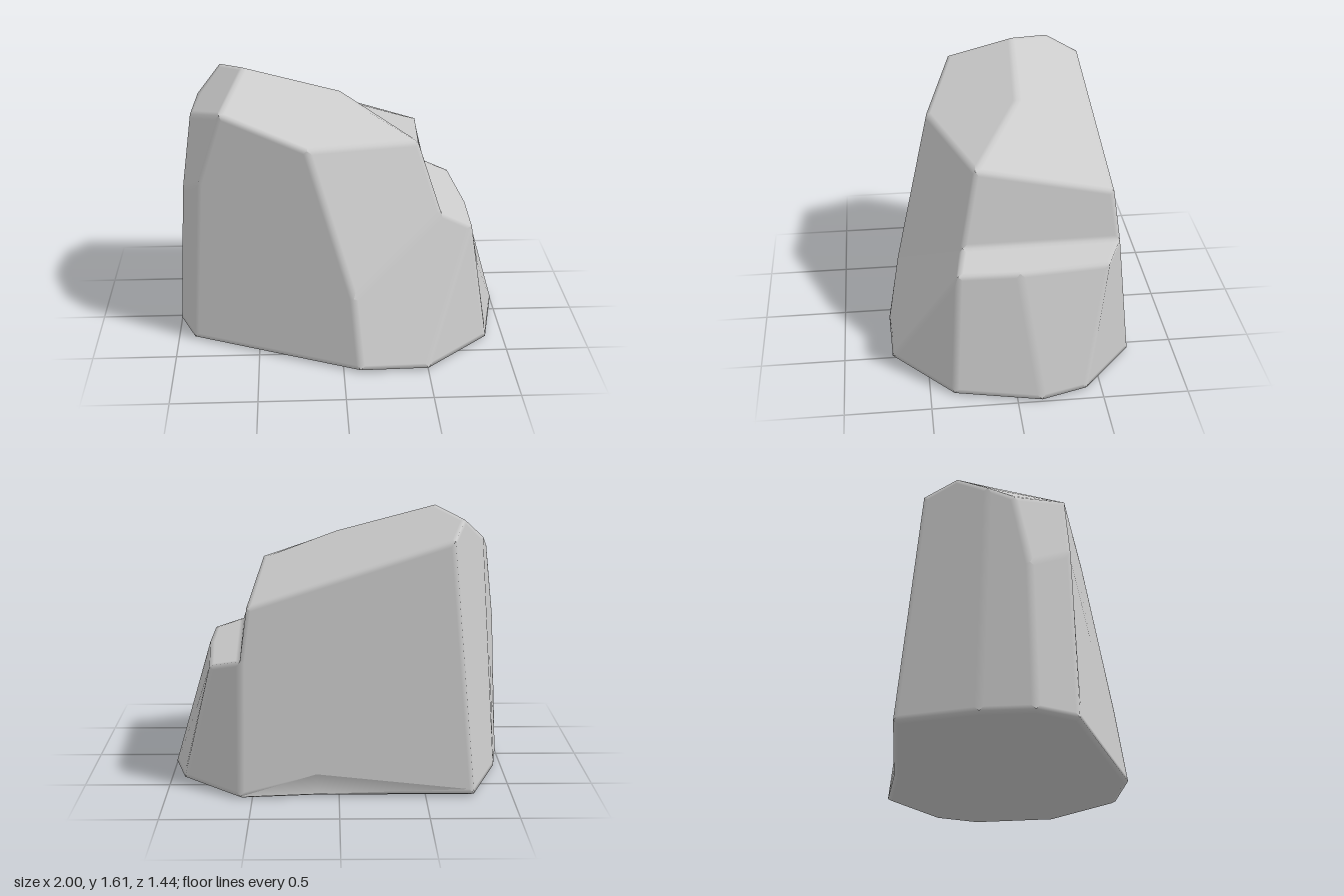
import * as THREE from 'three';

const EDGE = 0.025; // width of the softened band along every edge
const RIM = 0.015; // height of the rounded foot

// Corners of the boulder, grouped by region
const corners = {
  // foot outline
  b0: [-1, RIM, 0.05], b1: [-0.9, RIM, 0.29], b2: [0.1, RIM, 0.72], b3: [0.5, RIM, 0.71],
  b4: [0.89, RIM, 0.36], b5: [1, RIM, -0.14], b6: [0.92, RIM, -0.41], b7: [0.57, RIM, -0.72],
  b8: [0.12, RIM, -0.68], b9: [-0.78, RIM, -0.68], b10: [-0.95, RIM, -0.24],
  // front ridge and side shoulder
  f: [0.06, 0.45, 0.645], l1: [-0.84, 1.03, 0.27], l2: [-0.95, 0.9, 0.03],
  // ledge: outer lip and inner crease
  o1: [0.78, 0.75, 0.32], o2: [0.785, 0.75, -0.03], o3: [0.74, 0.75, -0.55],
  s1: [0.6, 0.82, 0.28], s3: [0.56, 0.8, -0.64],
  // crown
  t1: [-0.57, 1.61, -0.13], t2: [0, 1.45, -0.1], t3: [0.46, 1.24, 0.19], t4: [0.52, 1.1, -0.6],
  t5: [-0.65, 1.47, -0.56], t6: [-0.72, 1.56, -0.37], t7: [-0.2, 1.29, 0.43],
  t8: [-0.7, 1.45, 0.26], t9: [-0.85, 1.43, -0.2], t10: [-0.89, 1.35, -0.05],
};

// Facets, counter-clockwise from outside
const facets = [
  'b1 b2 f t7 t8 l1', 'f s1 t3 t7', 'b2 b3 o1 s1 f', 'b3 b4 o1', // front
  'b4 b5 o2 o1', 'b5 b6 o3 o2', 'b6 b7 s3 o3', // below the ledge
  'o1 o2 o3 s3 s1', 's1 s3 t4 t3', // ledge and cliff
  'b7 b8 b9 t5 t4 s3', 'b9 b10 t9 t6 t5', // back
  'b10 b0 l2 t10 t9', 'b0 b1 l1 l2', 'l2 l1 t8 t10', // side
  't6 t9 t10 t8 t1', 't8 t7 t3 t2 t1', 't1 t2 t3 t4 t5 t6', // crown
  'b10 b9 b8 b7 b6 b5 b4 b3 b2 b1 b0', // underside
].map((s) => s.split(' '));

// Average normal of a polygon that may be slightly warped
function polygonNormal(pts) {
  const n = new THREE.Vector3();
  pts.forEach((p, i) => n.add(p.clone().cross(pts[(i + 1) % pts.length])));
  return n.normalize();
}

function rockGeometry() {
  const at = {};
  for (const k in corners) at[k] = new THREE.Vector3(...corners[k]);
  const normals = facets.map((f) => polygonNormal(f.map((k) => at[k])));

  // Which facet owns each directed edge
  const owner = {};
  facets.forEach((f, i) => f.forEach((k, j) => { owner[k + '>' + f[(j + 1) % f.length]] = i; }));

  const pos = [], nor = [];
  const tri = (...verts) => verts.forEach(([p, n]) => {
    pos.push(p.x, p.y, p.z);
    nor.push(n.x, n.y, n.z);
  });

  facets.forEach((f, i) => {
    const n = normals[i], count = f.length;
    const pts = f.map((k) => at[k]);
    // Shrink the facet evenly inside its outline
    const inner = pts.map((p, j) => {
      const next = pts[(j + 1) % count].clone().sub(p).normalize();
      const prev = pts[(j + count - 1) % count].clone().sub(p).normalize();
      const sin = next.clone().cross(prev).dot(n);
      const q = p.clone().addScaledVector(next.add(prev), EDGE / sin);
      if (i === facets.length - 1) q.y = 0;
      return q;
    });
    const mid = inner.reduce((c, p) => c.add(p), new THREE.Vector3()).divideScalar(count);
    for (let j = 0; j < count; j++) {
      const k = (j + 1) % count;
      const other = normals[owner[f[k] + '>' + f[j]]];
      const en = n.clone().add(other).normalize();
      // Flat middle, then a band whose normals turn towards the neighbour
      tri([mid, n], [inner[j], n], [inner[k], n]);
      tri([pts[j], en], [pts[k], en], [inner[k], n]);
      tri([pts[j], en], [inner[k], n], [inner[j], n]);
    }
  });

  const g = new THREE.BufferGeometry();
  g.setAttribute('position', new THREE.Float32BufferAttribute(pos, 3));
  g.setAttribute('normal', new THREE.Float32BufferAttribute(nor, 3));
  return g;
}

export function createModel() {
  const group = new THREE.Group();
  group.name = 'rock';
  const boulder = new THREE.Mesh(rockGeometry(), new THREE.MeshStandardMaterial({ color: 0xcccccc }));
  boulder.name = 'boulder';
  group.add(boulder);
  return group;
}
